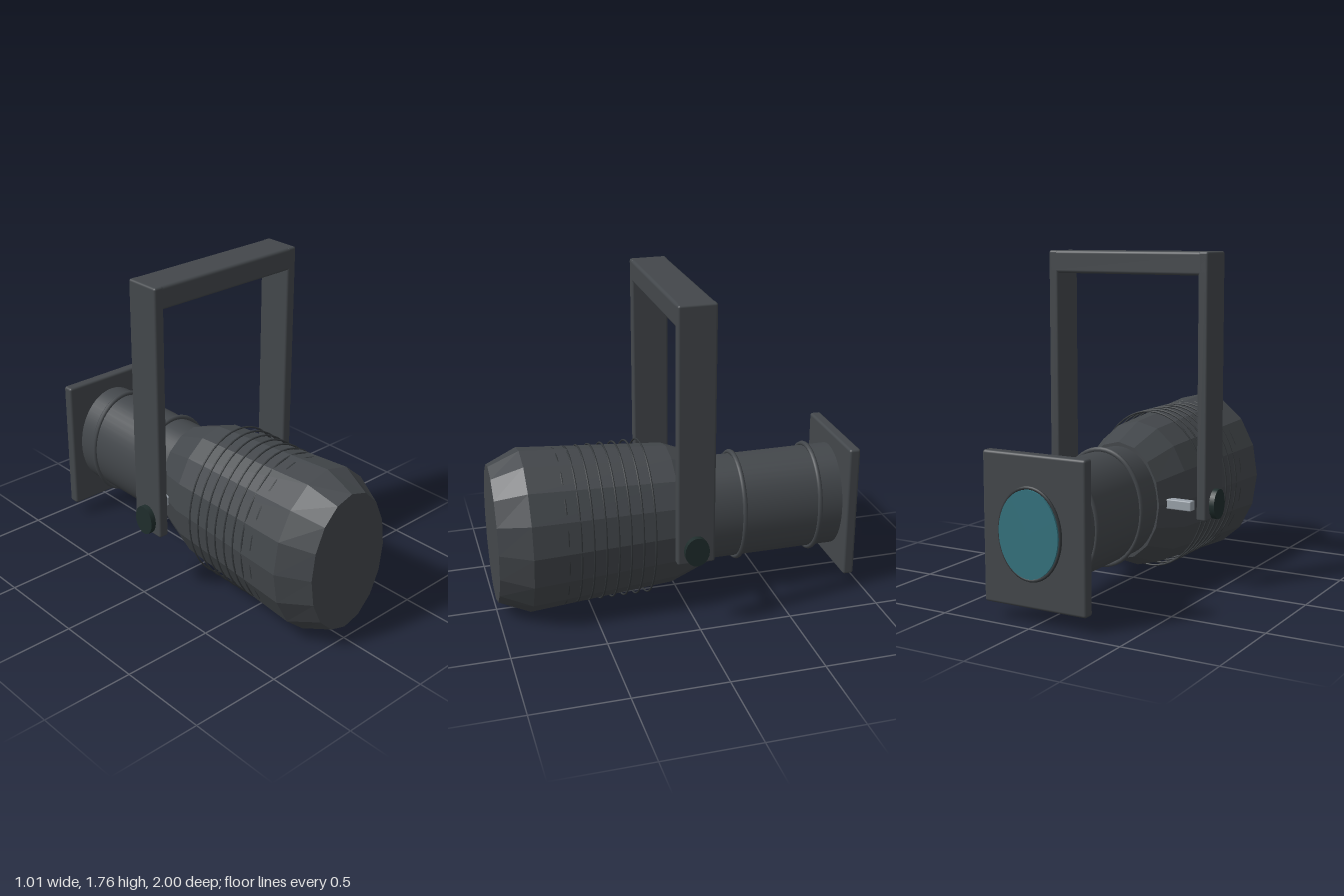
import * as THREE from 'three';
import { RoundedBoxGeometry } from 'three/addons/geometries/RoundedBoxGeometry.js';

const AXIS_Y = 0.46; // height of the lamp's long axis

export function createModel() {
  const group = new THREE.Group();
  const mat = (name, color) => {
    const m = new THREE.MeshStandardMaterial({ color });
    m.name = name;
    return m;
  };
  const grey = mat('charcoal metal', 0x43474b);
  const darkGrey = mat('dark ring metal', 0x34383b);
  const knobMat = mat('knob black green', 0x1f2d2c);
  const steel = mat('pale steel', 0x9aa2aa);
  const glass = mat('teal glass', 0x34727e);

  const add = (name, geo, material, x, y, z) => {
    const mesh = new THREE.Mesh(geo, material);
    mesh.name = name;
    mesh.position.set(x, y, z);
    group.add(mesh);
    return mesh;
  };
  const box = (name, w, h, d, r, material, x, y, z) =>
    add(name, new RoundedBoxGeometry(w, h, d, 3, r), material, x, y, z);

  // Oval ring around the long axis; rx and ry are outer radii
  const ring = (name, rx, ry, tube, z, material) => {
    const geo = new THREE.TorusGeometry(ry - tube, tube, 8, 48);
    geo.scale(rx / ry, 1, 1);
    return add(name, geo, material, 0, AXIS_Y, z);
  };

  // Oval drum along the long axis
  const drum = (name, rx, ry, z0, z1, material) => {
    const geo = new THREE.CylinderGeometry(1, 1, Math.abs(z1 - z0), 48);
    geo.rotateX(Math.PI / 2);
    geo.scale(rx, ry, 1);
    return add(name, geo, material, 0, AXIS_Y, (z0 + z1) / 2);
  };

  // Faceted housing: 16-sided oval sections [z, rx, ry], closed at both ends
  const sections = [
    [-0.155, 0, 0], [-0.155, 0.243, 0.315], [0.05, 0.308, 0.396],
    [0.835, 0.355, 0.456], [1, 0.26, 0.387], [1, 0, 0],
  ];
  const lathe = new THREE.LatheGeometry(
    sections.map(([z]) => new THREE.Vector2(1, z)), 16);
  lathe.rotateX(Math.PI / 2);
  const pos = lathe.attributes.position;
  for (let i = 0; i < pos.count; i++) {
    const [z, rx, ry] = sections[i % sections.length];
    pos.setXYZ(i, pos.getX(i) * rx, pos.getY(i) * ry, z);
  }
  const housing = lathe.toNonIndexed();
  housing.computeVertexNormals(); // flat facets
  add('housing', housing, grey, 0, AXIS_Y, 0);

  // Cooling rings
  for (let i = 0; i < 8; i++) {
    ring('coolingRing', 0.34, 0.437, 0.005, 0.192 + i * 0.0655, darkGrey);
  }

  // Lens barrel with two bands
  drum('barrel', 0.23, 0.293, -0.12, -0.9, grey);
  for (const z of [-0.33, -0.76]) ring('barrelBand', 0.247, 0.316, 0.014, z, grey);

  // Square filter frame, lens and rim
  box('filterFrame', 0.58, 0.75, 0.062, 0.014, grey, 0, AXIS_Y, -0.922);
  ring('lensRim', 0.18, 0.232, 0.009, -0.983, darkGrey);
  drum('lens', 0.167, 0.215, -0.978, -0.998, glass);

  // Yoke
  box('yokeBar', 0.95, 0.12, 0.2, 0.016, grey, 0, 1.705, 0.018);
  for (const s of [-1, 1]) {
    box('yokeArm', 0.056, 1.38, 0.2, 0.012, grey, s * 0.447, 1.075, 0.018);

    // Tilt knob
    const knob = new THREE.CylinderGeometry(1, 1, 0.06, 20);
    knob.rotateZ(Math.PI / 2);
    knob.scale(1, 0.08, 0.065);
    add('tiltKnob', knob, knobMat, s * 0.474, 0.464, 0.02);

    // Shutter handle
    box('shutterHandle', 0.18, 0.052, 0.05, 0.006, steel, s * 0.307, AXIS_Y, -0.075);
  }

  return group;
}
